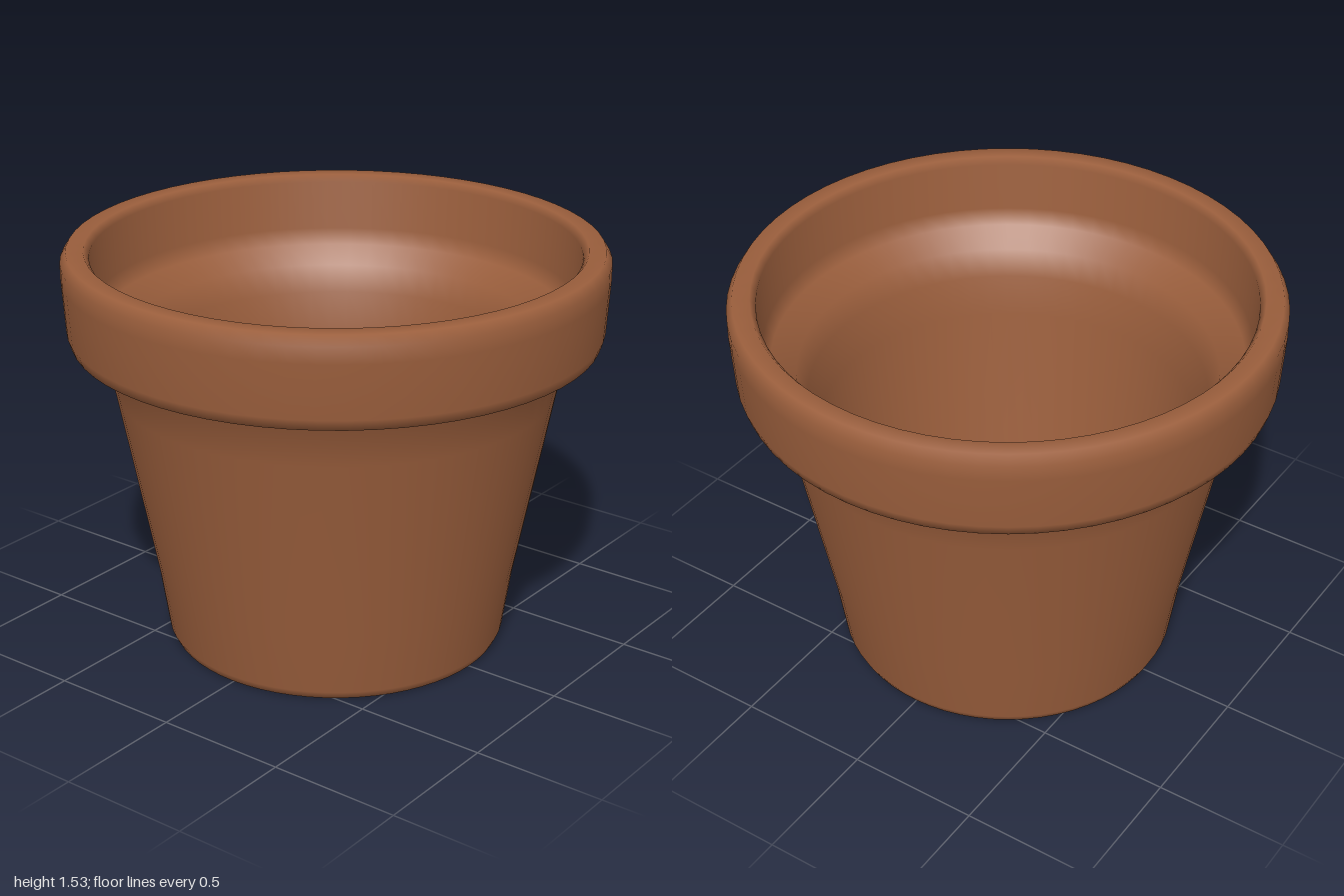
import * as THREE from 'three';

export function createModel() {
  const group = new THREE.Group();
  group.name = 'flowerPot';

  const terracotta = new THREE.MeshStandardMaterial({ color: 0x9a5e3c });
  terracotta.name = 'terracotta';

  // One continuous cross-section [radius, height], so shading flows softly from wall to rim
  const outerWall = [[0, 0], [0.6, 0], [0.63, 0.005], [0.645, 0.035], [0.68, 0.27], [0.82, 1.0], [0.855, 1.175]];
  const rim = [[0.9, 1.175], [0.975, 1.2], [0.988, 1.24], [1, 1.44], [1, 1.5], [0.978, 1.535], [0.915, 1.535], [0.895, 1.51]];
  const innerWall = [[0.885, 1.32], [0.86, 1.26], [0.77, 1.2], [0.735, 1.1], [0.7, 0.95], [0.59, 0.22], [0.55, 0.14], [0.4, 0.11], [0, 0.1]];

  const profile = [...outerWall, ...rim, ...innerWall].map(([r, y]) => new THREE.Vector2(r, y));
  const pot = new THREE.Mesh(new THREE.LatheGeometry(profile, 64), terracotta);
  pot.name = 'potWithRim';
  group.add(pot);

  return group;
}
